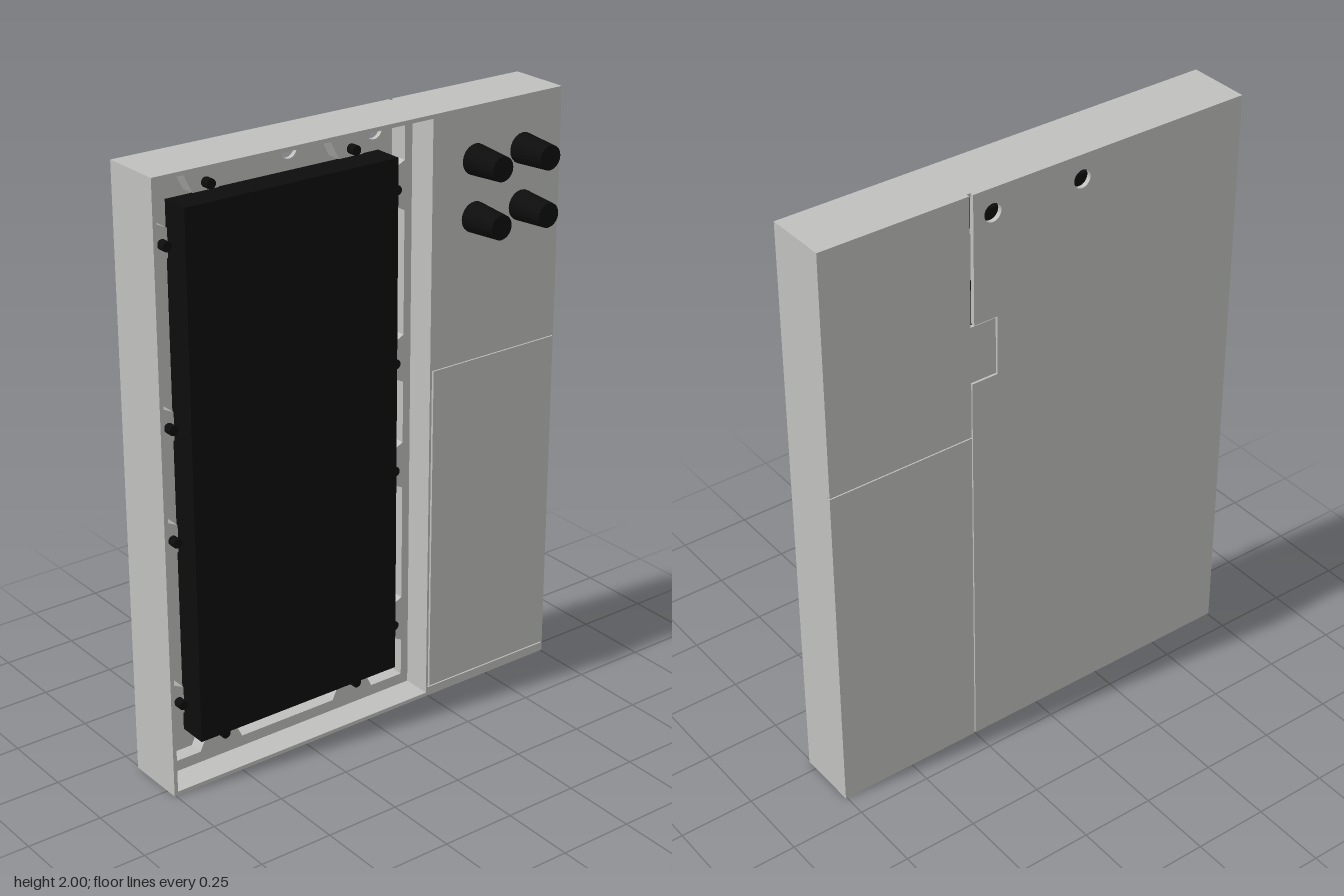
import * as THREE from 'three';

const grey = new THREE.MeshStandardMaterial({ color: 0xc0c0be });
grey.name = 'light grey plastic';
const black = new THREE.MeshStandardMaterial({ color: 0x0d0d0d, flatShading: true });
black.name = 'black plastic';

export function createModel() {
  const model = new THREE.Group();

  const add = (name, geometry, material) => {
    const mesh = new THREE.Mesh(geometry, material);
    mesh.name = name;
    model.add(mesh);
    return mesh;
  };
  // Box given by its limits on each axis
  const box = (name, x0, x1, y0, y1, z0, z1, material = grey) => {
    const g = new THREE.BoxGeometry(x1 - x0, y1 - y0, z1 - z0);
    g.translate((x0 + x1) / 2, (y0 + y1) / 2, (z0 + z1) / 2);
    return add(name, g, material);
  };
  const outline = (points) => new THREE.Shape(points.map(([x, y]) => new THREE.Vector2(x, y)));
  const rect = (x0, x1, y0, y1) => outline([[x0, y0], [x1, y0], [x1, y1], [x0, y1]]);
  const plate = (name, shape, z0, z1) => {
    const g = new THREE.ExtrudeGeometry(shape, { depth: z1 - z0, bevelEnabled: false, curveSegments: 16 });
    g.translate(0, 0, z0);
    return add(name, g, grey);
  };
  const rod = (name, x, y, z0, z1, r0, r1, sides) => {
    const g = new THREE.CylinderGeometry(r1, r0, z1 - z0, sides);
    g.rotateX(Math.PI / 2);
    g.translate(x, y, (z0 + z1) / 2);
    return add(name, g, black);
  };

  // Rim walls around the screen bay
  const rim = rect(-0.755, 0.25, 0, 2);
  rim.holes.push(rect(-0.742, 0.243, 0.013, 1.987));
  plate('bayRim', rim, -0.157, 0.04);

  // Mounting ledge: its opening has a tapered tab at every screw
  const columns = [-0.51, 0.01];
  const rows = [0.26, 0.82, 1.19, 1.76];
  const L = -0.715, R = 0.215, B = 0.05, T = 1.96;
  const profile = [[-0.08, 0], [-0.045, 0.07], [0.045, 0.07], [0.08, 0]];
  const opening = [[L, B]];
  columns.forEach((c) => profile.forEach(([s, d]) => opening.push([c + s, B + d])));
  opening.push([R, B]);
  rows.forEach((c) => profile.forEach(([s, d]) => opening.push([R - d, c + s])));
  opening.push([R, T]);
  [...columns].reverse().forEach((c) => profile.forEach(([s, d]) => opening.push([c - s, T - d])));
  opening.push([L, T]);
  [...rows].reverse().forEach((c) => profile.forEach(([s, d]) => opening.push([L + d, c - s])));
  const ledge = rect(-0.742, 0.243, 0.013, 1.987);
  ledge.holes.push(outline(opening));
  plate('mountingLedge', ledge, -0.11, -0.06);

  // Back plate of the bay, with two hanging holes and a latch notch
  const back = outline([[-0.755, 0], [0.247, 0], [0.247, 1.37], [0.155, 1.37],
    [0.155, 1.57], [0.238, 1.57], [0.238, 2], [-0.755, 2]]);
  for (const x of [-0.15, 0.17]) {
    const hole = new THREE.Path();
    hole.absarc(x, 1.92, 0.03, 0, Math.PI * 2, true);
    back.holes.push(hole);
  }
  plate('bayBack', back, -0.17, -0.155);
  box('latchTab', 0.159, 0.26, 1.374, 1.566, -0.167, -0.155);

  // Control column: core with split front and back covers
  box('columnCore', 0.25, 0.755, 0, 2, -0.16, 0.032);
  box('frontControlPanel', 0.25, 0.755, 1.17, 2, 0.032, 0.04);
  box('frontLowerCover', 0.257, 0.755, 0.035, 1.167, 0.032, 0.04);
  box('frontFoot', 0.25, 0.755, 0, 0.031, 0.032, 0.04);
  box('backUpperCover', 0.251, 0.755, 1.182, 2, -0.17, -0.16);
  box('backLowerCover', 0.251, 0.755, 0, 1.178, -0.17, -0.16);

  // Screen and its screws
  box('screen', -0.63, 0.135, 0.135, 1.88, -0.09, 0.01, black);
  for (const x of columns) for (const y of [0.1, 1.915]) rod('screw', x, y, -0.09, -0.03, 0.016, 0.016, 10);
  for (const x of [-0.665, 0.165]) for (const y of rows) rod('screw', x, y, -0.09, -0.03, 0.016, 0.016, 10);

  // Tapered control knobs
  for (const x of [0.41, 0.6]) for (const y of [1.645, 1.83]) rod('knob', x, y, 0.04, 0.17, 0.05, 0.04, 20);

  return model;
}
